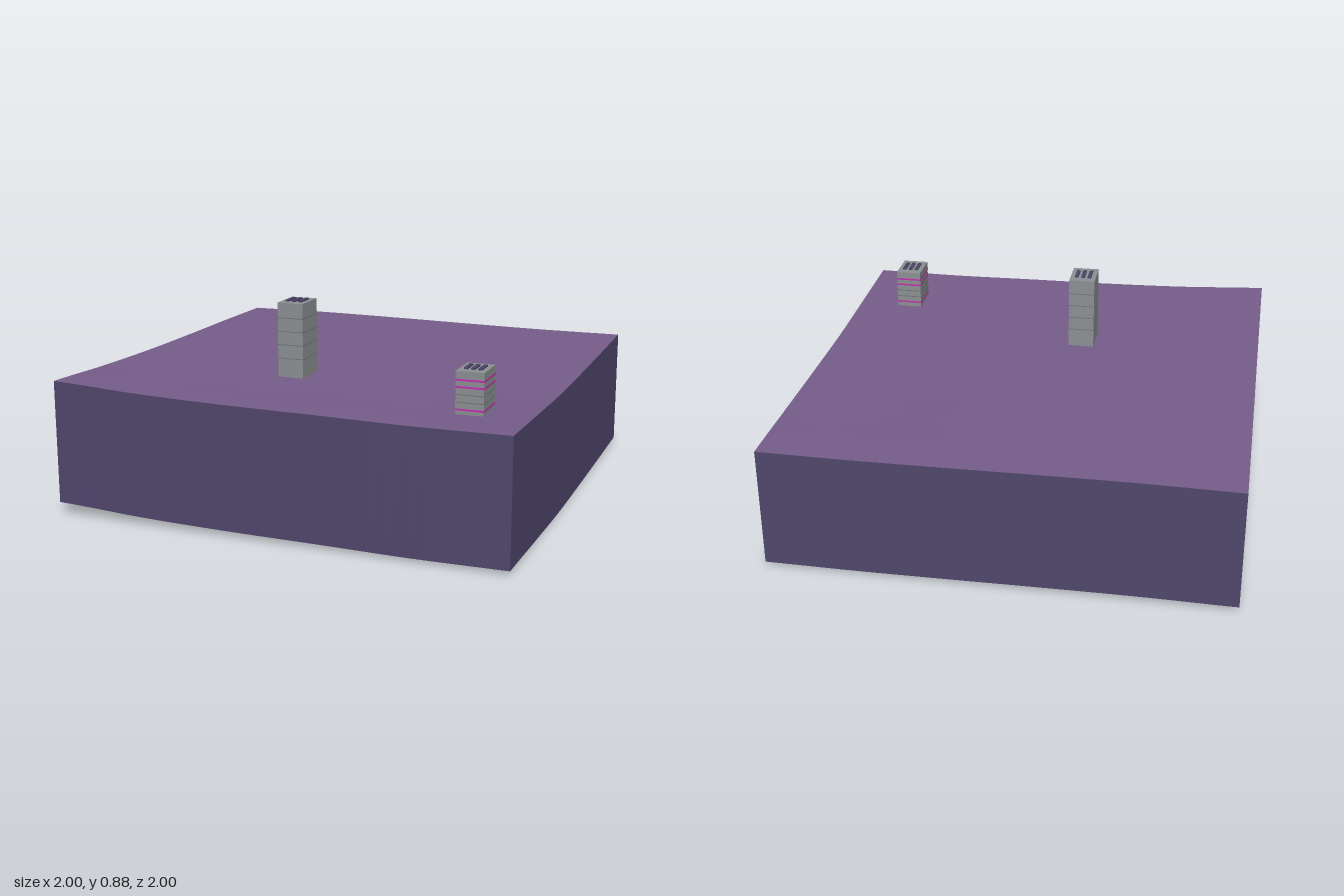
import * as THREE from 'three';

const paint = (name, color, side = THREE.FrontSide) => {
  const m = new THREE.MeshStandardMaterial({ color, side });
  m.name = name;
  return m;
};

// Smooth curve through evenly spaced heights, for t from -1 to 1
function edge(heights) {
  const curve = new THREE.SplineCurve(heights.map((y, i) => new THREE.Vector2(i, y)));
  return t => curve.getPoint(THREE.MathUtils.clamp((t + 1) / 2, 0, 1)).y;
}

// Heights along the four borders of the ground
const front = edge([0.59, 0.57, 0.56, 0.556, 0.551, 0.554]); // along x
const back = edge([0.558, 0.562, 0.56, 0.556, 0.553, 0.555]); // along x
const left = edge([0.558, 0.56, 0.56, 0.563, 0.573, 0.59]); // x = -1, along z
const right = edge([0.555, 0.547, 0.54, 0.536, 0.544, 0.554]); // x = 1, along z
const DEPTH = 0.536;

// Ground height blended from the borders
function ground(x, z) {
  const u = (x + 1) / 2, v = (z + 1) / 2, mix = THREE.MathUtils.lerp;
  return mix(back(x), front(x), v) + mix(left(z), right(z), u)
    - mix(mix(0.558, 0.555, u), mix(0.59, 0.554, u), v);
}

export function createModel() {
  const grass = paint('purple ground', 0x765d8a, THREE.DoubleSide);
  const earth = paint('dark violet earth', 0x51476d, THREE.DoubleSide);
  const concrete = paint('grey concrete', 0x8c9193);
  const seam = paint('dark grey seam', 0x6f7678);
  const neon = paint('magenta light', 0xc42fb0);
  const vent = paint('violet vent', 0x4d4468);

  const model = new THREE.Group();
  const add = (parent, name, geometry, material, x = 0, y = 0, z = 0) => {
    const mesh = new THREE.Mesh(geometry, material);
    mesh.name = name;
    mesh.position.set(x, y, z);
    parent.add(mesh);
  };

  // Gently rolling ground
  const top = new THREE.PlaneGeometry(2, 2, 24, 24).rotateX(-Math.PI / 2);
  const p = top.attributes.position;
  for (let i = 0; i < p.count; i++) p.setY(i, ground(p.getX(i), p.getZ(i)));
  top.computeVertexNormals();
  add(model, 'ground', top, grass);

  // Four skirt walls, open underneath, with the lower rim following the ground
  ['frontWall', 'leftWall', 'backWall', 'rightWall'].forEach((name, k) => {
    const wall = new THREE.PlaneGeometry(2, 1, 24, 1).translate(0, 0, 1).rotateY(k * Math.PI / 2);
    const q = wall.attributes.position;
    for (let i = 0; i < q.count; i++) {
      const y = ground(q.getX(i), q.getZ(i));
      q.setY(i, q.getY(i) > 0 ? y : y - DEPTH);
    }
    add(model, name, wall, earth);
  });

  // Tower block with thin floor bands and three roof vents
  function tower(name, x, z, base, roof, bands) {
    const group = new THREE.Group();
    group.name = name;
    group.position.set(x, 0, z);
    add(group, 'block', new THREE.BoxGeometry(0.118, roof - base, 0.158), concrete, 0, (roof + base) / 2, 0);
    for (const [y, material, h] of bands)
      add(group, 'floorBand', new THREE.BoxGeometry(0.12, h, 0.16), material, 0, y, 0);
    for (const dx of [-0.03, 0, 0.03])
      add(group, 'roofVent', new THREE.BoxGeometry(0.016, 0.008, 0.08), vent, dx, roof + 0.003, 0);
    model.add(group);
  }

  const floors = (list, material, h) => list.map(y => [y, material, h]);
  tower('tallTower', -0.17, 0.33, 0.545, 0.877,
    floors([0.63, 0.69, 0.75, 0.81], seam, 0.004));
  tower('shortTower', 0.75, 0.665, 0.541, 0.722, [
    ...floors([0.565, 0.657, 0.686], neon, 0.008),
    ...floors([0.595, 0.626], seam, 0.004),
  ]);

  return model;
}
